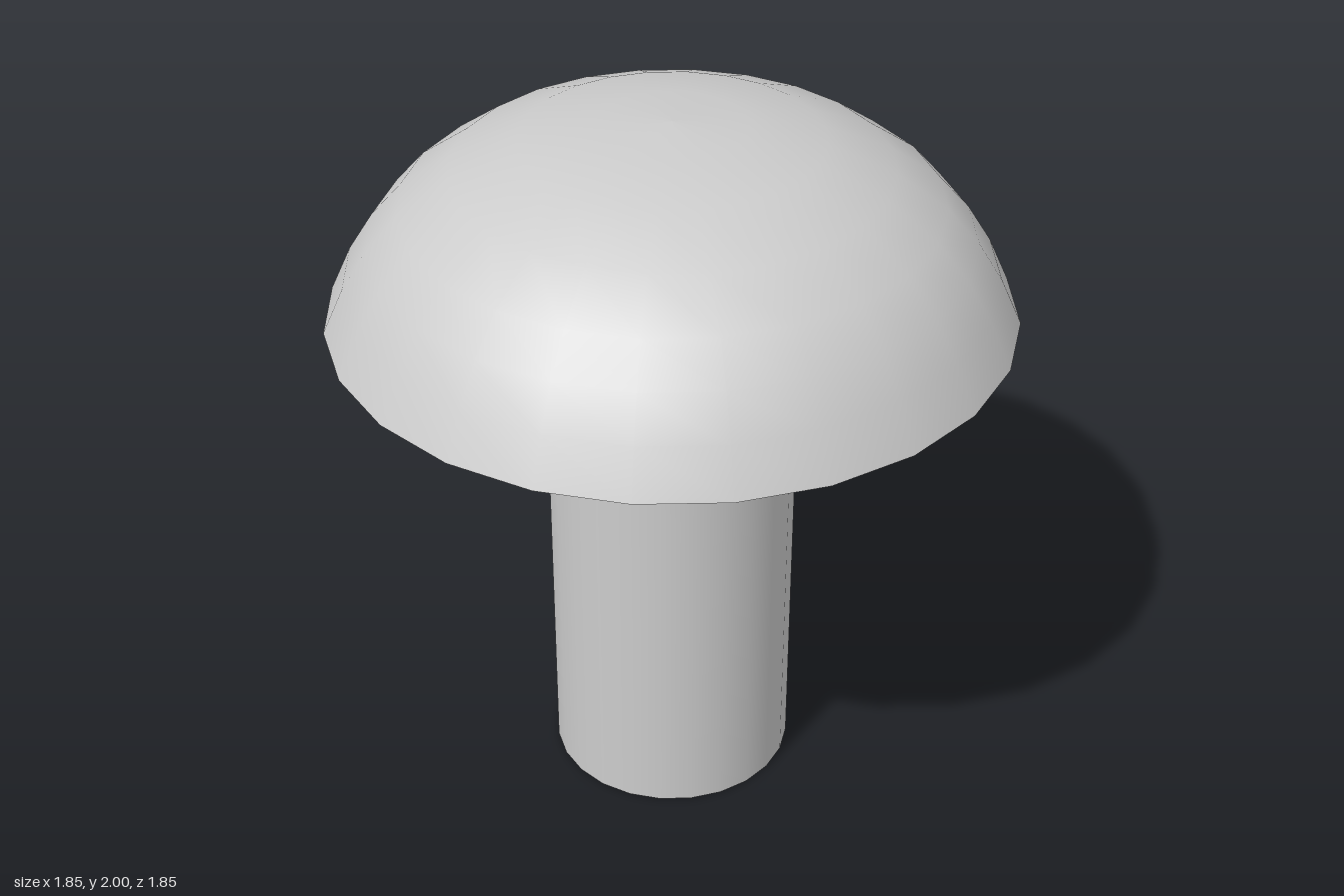
import * as THREE from 'three';

const SIDES = 24;
const STEM_RADIUS = 0.345;
const CAP_BASE = 1.46;

export function createModel() {
  const model = new THREE.Group();
  model.name = 'mushroom';
  const material = new THREE.MeshStandardMaterial({ color: 0xcccccc });

  const add = (name, geometry, parent) => {
    const mesh = new THREE.Mesh(geometry, material);
    mesh.name = name;
    parent.add(mesh);
    return mesh;
  };

  // Straight round stem
  const stem = add('stem', new THREE.CylinderGeometry(STEM_RADIUS, STEM_RADIUS, CAP_BASE, SIDES), model);
  stem.position.y = CAP_BASE / 2;

  // Domed cap, from rim to crown
  const cap = new THREE.Group();
  cap.name = 'cap';
  model.add(cap);
  const profile = [
    [0.925, CAP_BASE], [0.867, 1.585], [0.8, 1.69], [0.715, 1.785], [0.58, 1.88],
    [0.4, 1.955], [0.2, 1.99], [0, 2],
  ].map(([r, y]) => new THREE.Vector2(r, y));
  add('capDome', new THREE.LatheGeometry(profile, SIDES), cap);

  // Flat underside closing the cap
  const underside = add('capUnderside', new THREE.CircleGeometry(profile[0].x, SIDES), cap);
  underside.rotation.x = Math.PI / 2;
  underside.position.y = CAP_BASE;

  return model;
}
